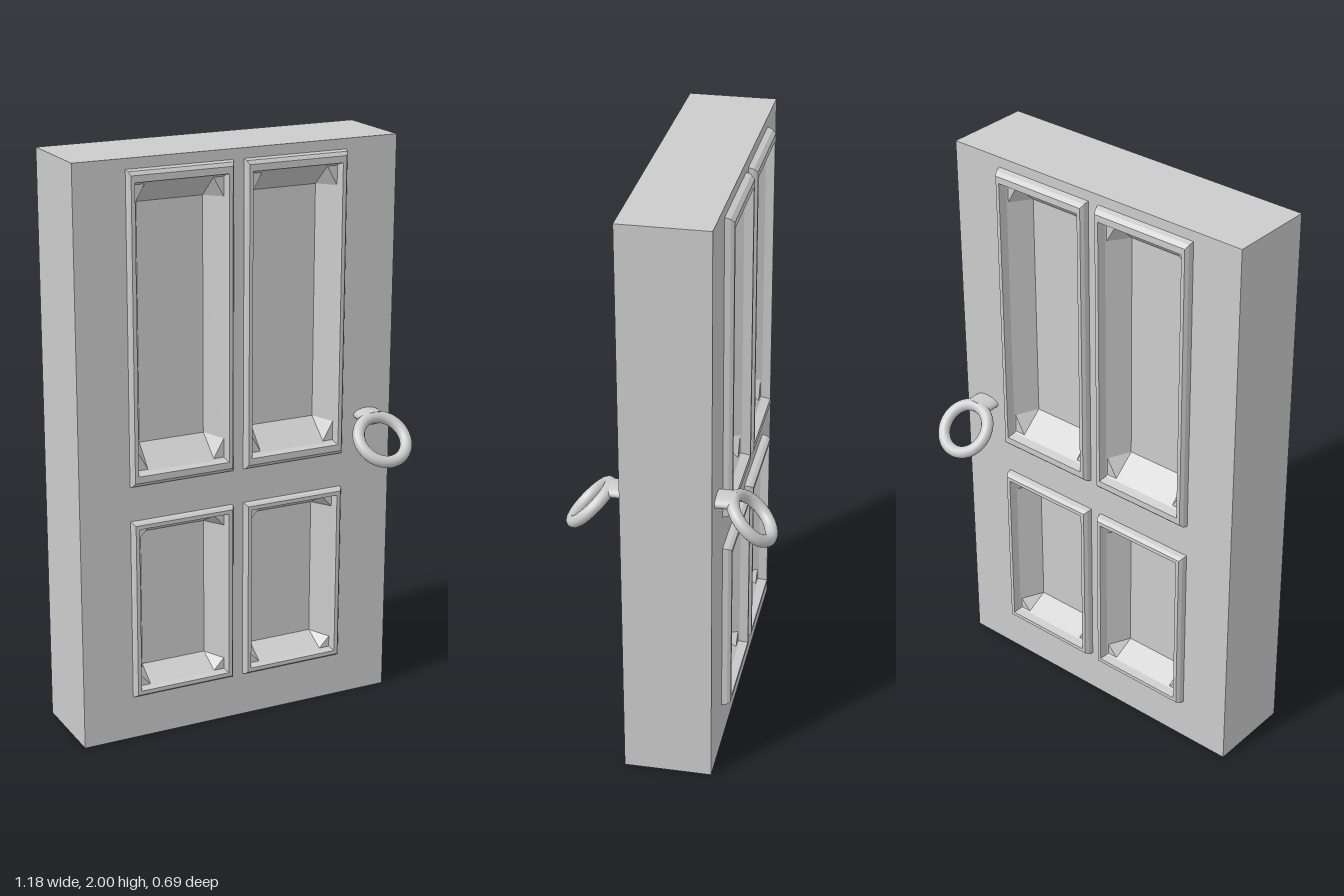
import * as THREE from 'three';

const mat = new THREE.MeshStandardMaterial({ color: 0xcccccc });
const flat = new THREE.MeshStandardMaterial({ color: 0xcccccc, flatShading: true });

const FACE = 0.15, FLOOR = 0.07;      // half thickness of the slab, depth of recess floor
const W = 0.375;                      // panel width
const COLS = [-0.2225, 0.1925];       // panel centres in x
const ROWS = [[0.155, 0.79], [0.91, 1.965]];

// insets along y grow with panel height, like a stretched unit panel
const insetY = (inset, h) => inset * h / 0.6;

function rect(inset, h, z) {
  const x = W / 2 - inset, y = h / 2 - insetY(inset, h);
  return [[-x, -y, z], [x, -y, z], [x, y, z], [-x, y, z]];
}

function mesh(name, geo, material) {
  const m = new THREE.Mesh(geo, material);
  m.name = name;
  return m;
}

function triangles(list) {
  const g = new THREE.BufferGeometry();
  g.setAttribute('position', new THREE.Float32BufferAttribute(list.flat(), 3));
  g.computeVertexNormals();
  return g;
}

// Raised moulding, sloped recess and floor, lofted through nested rectangles
function panelGeometry(h, rise) {
  const rings = [
    rect(0, h, FACE), rect(0.003, h, FACE + rise * 0.6), rect(0.01, h, FACE + rise),
    rect(0.023, h, FACE + rise), rect(0.027, h, FACE), rect(0.07, h, FLOOR),
  ];
  const t = [];
  for (let r = 0; r < rings.length - 1; r++) {
    for (let i = 0; i < 4; i++) {
      const j = (i + 1) % 4;
      const [a, b, c, d] = [rings[r][i], rings[r][j], rings[r + 1][j], rings[r + 1][i]];
      t.push(a, b, c, a, c, d);
    }
  }
  const [a, b, c, d] = rings[rings.length - 1];
  t.push(a, b, c, a, c, d);
  return triangles(t);
}

// Small wedges filling the four corners of a recess
function cornerGeometry(h) {
  const top = rect(0.027, h, FACE - 0.005), low = rect(0.07, h, FLOOR);
  const t = [];
  for (let i = 0; i < 4; i++) {
    const [x, y, z] = top[i], [fx, fy, fz] = low[i];
    const p = [fx, y, z], q = [x, fy, z], f = [fx, fy, fz], c = [x, y, z];
    if (i % 2 === 0) t.push(q, f, p, c, p, q);
    else t.push(p, f, q, c, q, p);
  }
  return triangles(t);
}

// Slab with four openings
function slabGeometry() {
  const s = new THREE.Shape();
  s.moveTo(-0.59, 0).lineTo(0.57, 0).lineTo(0.57, 2).lineTo(-0.59, 2).closePath();
  for (const cx of COLS) for (const [y0, y1] of ROWS) {
    const h = y1 - y0, cy = (y0 + y1) / 2;
    const pts = rect(0.027, h, 0).map(([x, y]) => new THREE.Vector2(cx + x, cy + y));
    s.holes.push(new THREE.Path(pts.reverse()));
  }
  return new THREE.ExtrudeGeometry(s, { depth: FACE * 2, bevelEnabled: false })
    .translate(0, 0, -FACE);
}

// Flattened stem carrying a tilted ring
function handle(side) {
  const g = new THREE.Group();
  g.name = side + 'Handle';
  const stem = new THREE.CylinderGeometry(0.05, 0.05, 0.07, 24)
    .rotateX(Math.PI / 2).scale(1, 0.44, 1).translate(0, 1.04, 0.175);
  const ring = new THREE.TorusGeometry(0.087, 0.021, 16, 40)
    .rotateX(-Math.PI / 4).translate(0, 0.98, 0.264);
  g.add(mesh('handleStem', stem, mat), mesh('handleRing', ring, mat));
  return g;
}

export function createModel() {
  const door = new THREE.Group();
  door.name = 'door';
  door.add(mesh('doorSlab', slabGeometry(), flat));

  for (const [side, turn, rise] of [['front', 0, 0.022], ['back', Math.PI, 0.03]]) {
    for (const cx of COLS) for (const [y0, y1] of ROWS) {
      const h = y1 - y0;
      const panel = new THREE.Group();
      panel.name = side + 'Panel';
      panel.add(mesh('panelMoulding', panelGeometry(h, rise), flat));
      const corners = mesh('panelCorners', cornerGeometry(h), flat.clone());
      corners.material.side = THREE.DoubleSide;
      panel.add(corners);
      panel.position.set(cx, (y0 + y1) / 2, 0);
      panel.rotation.y = turn;
      door.add(panel);
    }
    const h = handle(side);
    h.position.x = 0.478;
    h.rotation.y = turn;
    door.add(h);
  }
  return door;
}
